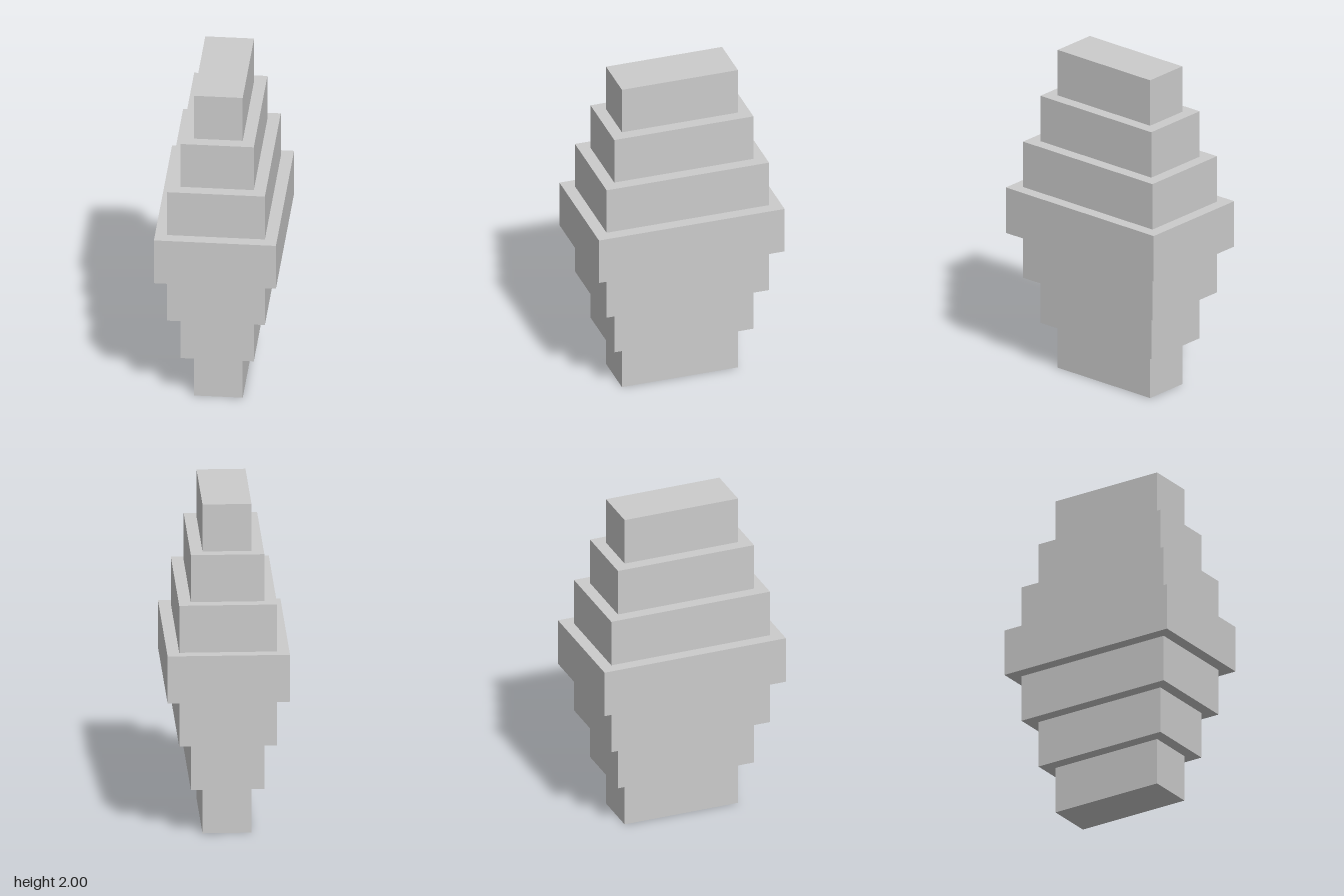
import * as THREE from 'three';

const TIERS = 7;
const HEIGHT = 2 / TIERS; // height of one tier
const STEP = 1 / 7;       // growth in width and depth per tier

export function createModel() {
  const model = new THREE.Group();
  model.name = 'steppedBlock';
  const material = new THREE.MeshStandardMaterial({ color: 0xcccccc });

  // Stacked slabs, widest in the middle and mirrored above and below
  for (let i = 0; i < TIERS; i++) {
    const grow = 3 - Math.abs(i - 3);
    const width = (2 + grow) * STEP;
    const depth = (5 + grow) * STEP;
    const tier = new THREE.Mesh(new THREE.BoxGeometry(width, HEIGHT, depth), material);
    tier.name = i === 3 ? 'middleTier' : i < 3 ? `lowerTier${i + 1}` : `upperTier${i - 3}`;
    tier.position.y = (i + 0.5) * HEIGHT;
    model.add(tier);
  }
  return model;
}
